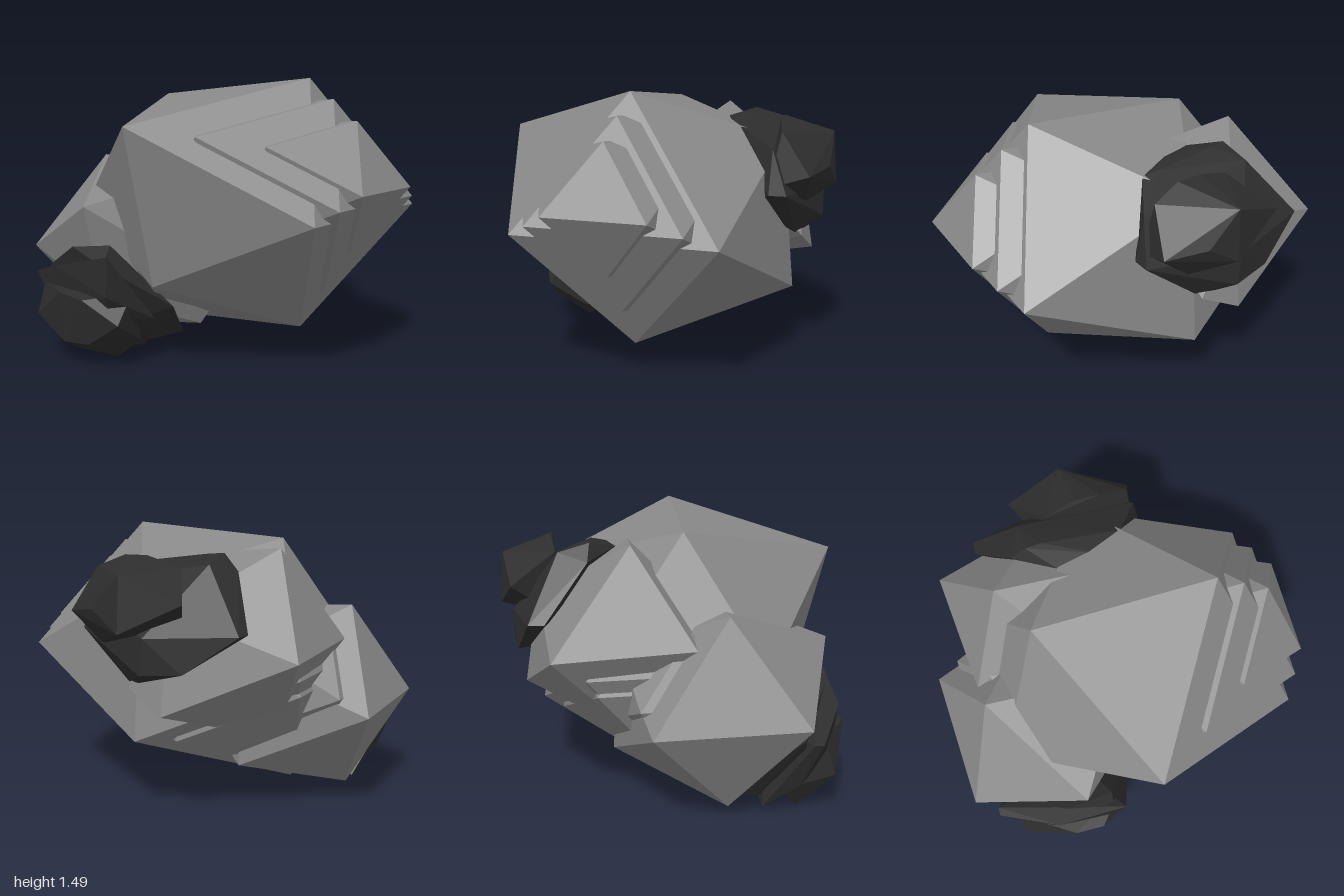
import * as THREE from 'three';
import { ConvexGeometry } from 'three/addons/geometries/ConvexGeometry.js';

const stone = new THREE.MeshStandardMaterial({ color: 0x888888 });
stone.name = 'stone grey';
const coal = new THREE.MeshStandardMaterial({ color: 0x2d2d2d });
coal.name = 'coal black';

// Twelve corners of a slightly uneven, flattened icosahedron, measured from its centre
const BOULDER = [
  [-0.53, 0, 0.86], [0.525, 0, 0.885], [-0.41, -0.04, -0.7], [0.48, -0.045, -0.77],
  [-0.01, 0.68, 0.53], [-0.01, 0.605, -0.41], [-0.01, -0.64, 0.49], [-0.01, -0.7, -0.48],
  [-0.87, 0.445, 0.02], [0.67, 0.41, 0.02], [-0.67, -0.36, 0.02], [0.745, -0.4, 0.02],
];

function hull(name, points, material) {
  const mesh = new THREE.Mesh(
    new ConvexGeometry(points.map((p) => new THREE.Vector3(...p))), material);
  mesh.name = name;
  return mesh;
}

export function createModel() {
  const model = new THREE.Group();
  model.name = 'oreRock';

  // Main boulder with stepped plates growing out of the front and back
  const boulder = new THREE.Group();
  boulder.name = 'mainBoulder';
  const steps = [
    ['boulderCore', [-0.04, 0.81, 0], 1],
    ['frontStepLarge', [-0.06, 0.873, 0.28], 0.75],
    ['frontStepSmall', [-0.08, 0.937, 0.553], 0.5],
    ['backStepLarge', [0.03, 0.71, -0.17], 0.75],
    ['backStepSmall', [-0.05, 0.66, -0.48], 0.5],
  ];
  for (const [name, [cx, cy, cz], s] of steps) {
    boulder.add(hull(name, BOULDER.map(([x, y, z]) => [cx + x * s, cy + y * s, cz + z * s]), stone));
  }
  model.add(boulder);

  // Two smaller boulders merged into the back
  model.add(hull('lowerBackBoulder', [
    [0.14, 0.55, -1.0], [-0.62, 0.55, -0.94], [-0.244, 1.06, -0.73], [-0.255, 0.06, -0.72],
    [-0.82, 0.84, -0.34], [-0.68, 0.33, -0.36], [0.315, 0.245, -0.36], [0.3, 0.8, -0.36],
    [-0.25, 1.0, 0], [-0.25, 0.15, -0.03], [0.1, 0.55, 0.1], [-0.45, 0.52, 0],
  ], stone));
  model.add(hull('upperBackBoulder', [
    [0.22, 1.375, -0.54], [0.6, 0.88, -0.84], [-0.09, 0.9, -0.76], [0.78, 0.585, -0.2],
    [0.22, 0.4, -0.53], [0.7, 1.08, -0.2], [0.745, 0.7, 0.02], [0.22, 1.32, 0.2],
    [-0.1, 1.07, -0.2],
  ], stone));

  // Upper coal cluster on the left flank
  const upper = new THREE.Group();
  upper.name = 'upperCoalCluster';
  upper.add(hull('upperCoalInner', [
    [0.43, 1.31, 0.08], [0.43, 1.35, -0.25], [0.42, 1.355, -0.335], [0.58, 1.31, -0.35],
    [0.32, 1.31, 0.02], [0.285, 1.315, -0.2], [0.43, 1.27, -0.42], [0.64, 1.0, -0.6],
    [0.72, 1.0, -0.6], [0.8, 0.81, -0.34], [0.71, 0.72, 0.04], [0.76, 0.735, -0.06],
    [0.84, 0.79, -0.12], [0.84, 0.97, -0.14], [0.61, 0.97, 0.34], [0.7, 0.97, 0.34],
    [0.42, 1.3, 0.17], [0.62, 1.2, 0.3], [0.45, 0.9, 0.2],
  ], coal));
  upper.add(hull('upperCoalOuter', [
    [0.89, 1.265, -0.05], [0.91, 0.99, -0.05], [0.82, 1.14, -0.36], [0.81, 1.07, 0.32],
    [0.66, 1.285, 0.27], [0.63, 1.345, 0.115], [0.63, 1.345, -0.02], [0.89, 1.1, 0.12],
    [0.78, 0.92, 0.15], [0.6, 1.0, 0.3], [0.6, 1.29, -0.2], [0.6, 0.95, -0.2],
  ], coal));
  model.add(upper);

  // Lower coal cluster, three stepped lumps on the right flank
  const lower = new THREE.Group();
  lower.name = 'lowerCoalCluster';
  lower.add(hull('lowerCoalInner', [
    [-0.78, 0.65, -0.2], [-0.8, 0.62, -0.45], [-0.62, 0.45, -0.82], [-0.27, 0.09, -0.64],
    [-0.27, 0.09, -0.14], [-0.5, 0.3, -0.02], [-0.42, 0.06, -0.25], [-0.84, 0.55, -0.2],
    [-0.42, 0.06, -0.62], [-0.65, 0.2, -0.25], [-0.65, 0.2, -0.65], [-0.4, 0.45, -0.4],
  ], coal));
  lower.add(hull('lowerCoalMiddle', [
    [-0.87, 0.61, -0.14], [-0.86, 0.52, -0.52], [-0.705, 0.43, -0.835], [-0.66, 0.43, -0.835],
    [-0.44, 0.03, -0.68], [-0.44, 0.03, -0.27], [-0.6, 0.25, -0.06], [-0.62, 0.18, -0.75],
    [-0.86, 0.4, -0.16], [-0.6, 0.08, -0.25], [-0.62, 0.08, -0.6], [-0.8, 0.28, -0.6],
    [-0.8, 0.28, -0.2], [-0.5, 0.4, -0.4],
  ], coal));
  lower.add(hull('lowerCoalOuter', [
    [-0.91, 0.4, -0.44], [-0.91, 0.38, -0.28], [-0.865, 0.125, -0.46], [-0.63, 0.003, -0.62],
    [-0.63, 0.01, -0.3], [-0.8, 0.22, -0.73], [-0.82, 0.25, -0.12], [-0.71, 0.4, -0.12],
    [-0.6, 0.15, -0.7], [-0.6, 0.12, -0.16], [-0.85, 0.13, -0.3], [-0.54, 0.07, -0.58],
    [-0.54, 0.07, -0.3], [-0.74, 0.42, -0.72], [-0.55, 0.3, -0.45],
  ], coal));
  model.add(lower);

  return model;
}
